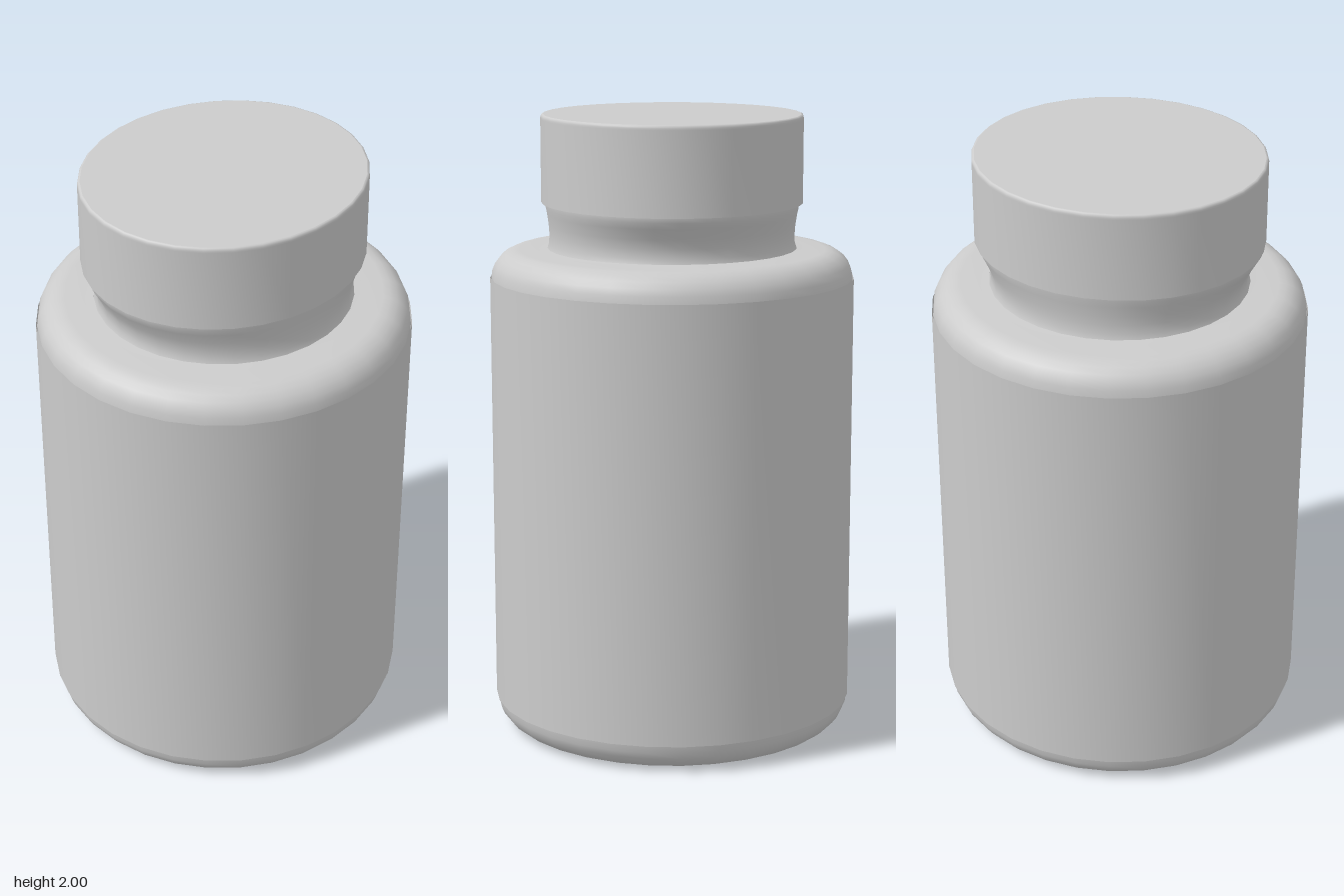
import * as THREE from 'three';
import { mergeVertices } from 'three/addons/utils/BufferGeometryUtils.js';

const SEGMENTS = 32;
const material = new THREE.MeshStandardMaterial({ color: 0xcccccc, side: THREE.DoubleSide });

// Oval lathe: each ring is [radius in x, radius in z, height], listed from bottom to top.
function ovalLathe(name, rings) {
  const lathe = new THREE.LatheGeometry(rings.map(([rx, , y]) => new THREE.Vector2(rx, y)), SEGMENTS);
  const pos = lathe.attributes.position;
  for (let i = 0; i < pos.count; i++) {
    const [rx, rz] = rings[i % rings.length];
    if (rx > 0) pos.setZ(i, pos.getZ(i) * rz / rx);
  }
  // Weld the seam so the sides shade smoothly all round
  lathe.deleteAttribute('uv');
  lathe.deleteAttribute('normal');
  const geometry = mergeVertices(lathe);
  geometry.computeVertexNormals();
  const mesh = new THREE.Mesh(geometry, material);
  mesh.name = name;
  return mesh;
}

// Quarter-round rings between two angles, on a corner circle inset from the wall
function roundedCorner(rx, rz, y, size, height, from, to, steps = 6) {
  return Array.from({ length: steps + 1 }, (_, i) => {
    const a = from + (to - from) * i / steps;
    const inset = size * (1 - Math.cos(a));
    return [rx - inset, rz - inset, y + height * Math.sin(a)];
  });
}

export function createModel() {
  const group = new THREE.Group();
  group.name = 'bottle';
  const RX = 0.58, RZ = 0.589;

  // Bottle: rounded foot, straight wall, rounded shoulder
  group.add(ovalLathe('base', [
    [0, 0, 0.005], [0.48, 0.49, 0.005],
    ...roundedCorner(RX, RZ, 0.095, 0.09, 0.09, -Math.PI / 2, 0),
  ]));
  group.add(ovalLathe('bodyWall', [[RX, RZ, 0.095], [RX, RZ, 1.48]]));
  group.add(ovalLathe('shoulder', [
    ...roundedCorner(RX, RZ, 1.48, 0.09, 0.09, 0, Math.PI / 2),
    [0.43, 0.44, 1.572], [0.4, 0.41, 1.574],
  ]));

  // Label wrapped around the wall
  group.add(ovalLathe('label', [[RX + 0.004, RZ + 0.004, 0.095], [RX + 0.004, RZ + 0.004, 1.48]]));

  // Neck flaring out front and back to meet the cap
  group.add(ovalLathe('neck', [
    [0.4, 0.41, 1.572], [0.394, 0.404, 1.59], [0.393, 0.406, 1.62],
    [0.395, 0.418, 1.65], [0.4, 0.437, 1.685], [0.404, 0.449, 1.705], [0.405, 0.45, 1.72],
  ]));

  // Cap: open-centred underside, side wall with softened rim, flat lid
  const cap = new THREE.Group();
  cap.name = 'cap';
  const CX = 0.418, CZ = 0.455;
  cap.add(ovalLathe('capUnderside', [[0.36, 0.37, 1.72], [CX, CZ, 1.72]]));
  cap.add(ovalLathe('capSide', [
    [CX, CZ, 1.72], [CX, CZ, 1.985],
    ...roundedCorner(CX, CZ, 1.99, 0.008, 0.01, 0, Math.PI / 2, 3),
  ]));
  cap.add(ovalLathe('capTop', [[CX - 0.008, CZ - 0.008, 2], [0, 0, 2]]));
  group.add(cap);

  return group;
}
